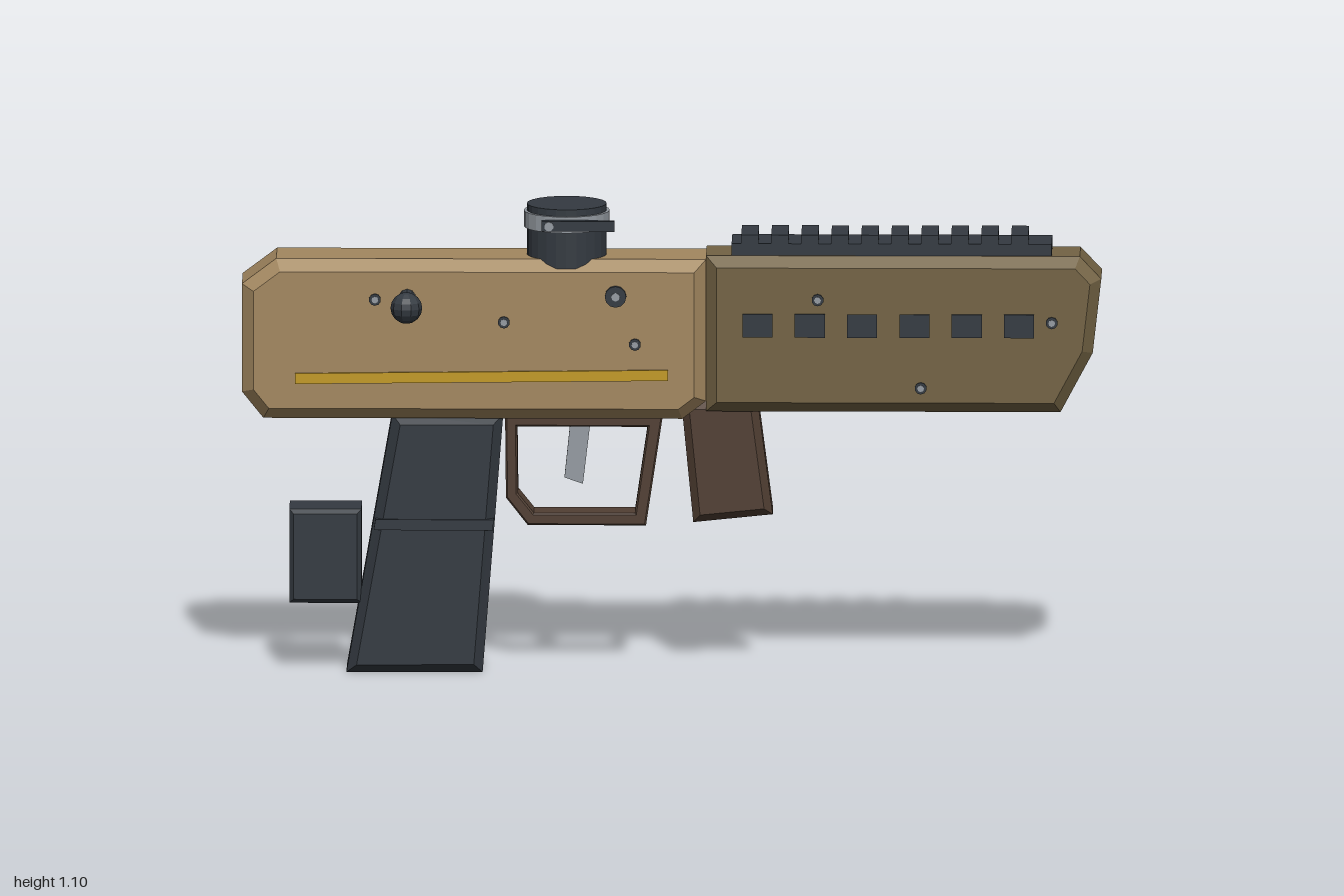
import * as THREE from 'three';

const mat = (name, color) => {
  const m = new THREE.MeshStandardMaterial({ color });
  m.name = name;
  return m;
};

export function createModel() {
  const tan = mat('tan', 0xa38860);
  const olive = mat('olive', 0x736344);
  const slate = mat('slate', 0x343a41);
  const brown = mat('brown', 0x513f33);
  const steel = mat('steel', 0x959ba2);
  const yellow = mat('yellow', 0xc39a25);

  const root = new THREE.Group();
  const ZC = -0.08; // middle plane of the body

  const add = (name, geo, material, x = 0, y = 0, z = 0) => {
    const flat = geo.index ? geo.toNonIndexed() : geo;
    flat.computeVertexNormals(); // faceted look
    const mesh = new THREE.Mesh(flat, material);
    mesh.name = name;
    mesh.position.set(x, y, z);
    root.add(mesh);
    return mesh;
  };
  const toVec = (pts) => pts.map(([x, y]) => new THREE.Vector2(x, y));

  // Side profile extruded about the middle plane, with chamfered edges
  const slab = (name, pts, width, bevel, material, hole) => {
    const shape = new THREE.Shape(toVec(pts));
    if (hole) shape.holes.push(new THREE.Path(toVec(hole)));
    const geo = new THREE.ExtrudeGeometry(shape, {
      depth: width - 2 * bevel, bevelEnabled: bevel > 0, bevelSegments: 1,
      bevelThickness: bevel, bevelSize: bevel, bevelOffset: -bevel,
    });
    geo.translate(0, 0, -(width - 2 * bevel) / 2);
    return add(name, geo, material, 0, 0, ZC);
  };
  const box = (name, w, h, d, material, x, y, z = ZC) =>
    add(name, new THREE.BoxGeometry(w, h, d), material, x, y, z);
  const disc = (name, r, depth, sides, material, x, y, z) =>
    add(name, new THREE.CylinderGeometry(r, r, depth, sides).rotateX(Math.PI / 2), material, x, y, z);

  // Main body
  slab('receiver', [[-1, 0.665], [-0.95, 0.603], [0.025, 0.603], [0.08, 0.645],
    [0.08, 0.98], [-0.92, 0.98], [-1, 0.92]], 0.195, 0.027, tan);
  slab('handguard', [[0.08, 0.62], [0.905, 0.62], [0.98, 0.76], [1, 0.935],
    [0.95, 0.988], [0.08, 0.988]], 0.18, 0.025, olive);

  // Grips
  slab('rearGrip', [[-0.757, 0], [-0.44, 0], [-0.392, 0.61], [-0.65, 0.61]], 0.155, 0.022, slate);
  slab('rearGripBand', [[-0.693, 0.34], [-0.416, 0.34], [-0.414, 0.365], [-0.689, 0.365]], 0.166, 0, slate);
  slab('rearBlock', [[-0.89, 0.163], [-0.722, 0.163], [-0.722, 0.385], [-0.89, 0.385]], 0.13, 0.01, slate);
  slab('foreGrip', [[0.05, 0.353], [0.235, 0.372], [0.2, 0.64], [0.022, 0.64]], 0.112, 0.018, brown);

  // Trigger and guard
  slab('triggerGuard', [[-0.388, 0.61], [-0.386, 0.41], [-0.335, 0.345], [-0.06, 0.345], [-0.02, 0.61]],
    0.085, 0.004, brown,
    [[-0.36, 0.578], [-0.056, 0.578], [-0.086, 0.374], [-0.321, 0.374], [-0.358, 0.42]]);
  slab('trigger', [[-0.25, 0.455], [-0.207, 0.44], [-0.188, 0.6], [-0.235, 0.6]], 0.045, 0, steel);

  // Top rail with teeth
  box('railBase', 0.745, 0.032, 0.125, slate, 0.512, 1.0);
  for (let i = 0; i < 10; i++) box('railTooth', 0.04, 0.024, 0.13, slate, 0.182 + i * 0.0698, 1.025);

  // Sight pot with clamp ring and latch
  const SX = -0.245;
  add('sightPot', new THREE.CylinderGeometry(0.093, 0.093, 0.14, 24), slate, SX, 1.03, ZC);
  add('clampRing', new THREE.CylinderGeometry(0.1, 0.1, 0.038, 24), steel, SX, 1.065, ZC);
  box('clampLatch', 0.17, 0.024, 0.018, slate, -0.217, 1.065, 0.028);
  disc('latchPin', 0.011, 0.008, 10, steel, -0.285, 1.065, 0.036);

  // Side handle
  disc('handleRod', 0.02, 0.15, 10, slate, -0.615, 0.893, 0.07);
  add('handleBall', new THREE.SphereGeometry(0.037, 10, 8), slate, -0.615, 0.893, 0.156);

  // Details repeated on both sides
  for (const s of [1, -1]) {
    const bodyZ = ZC + s * 0.0975;
    const guardZ = ZC + s * 0.09;

    const stripe = box('sideStripe', 0.868, 0.025, 0.008, yellow, -0.442, 0.706, bodyZ + s * 0.002);
    stripe.rotation.z = 0.011;

    for (let i = 0; i < 6; i++)
      box('ventWindow', 0.07, 0.055, 0.008, slate, 0.2 + i * 0.1218, 0.827, guardZ);

    const screws = [
      [-0.69, 0.888, bodyZ], [-0.39, 0.835, bodyZ], [-0.085, 0.783, bodyZ],
      [0.34, 0.888, guardZ], [0.885, 0.835, guardZ], [0.58, 0.68, guardZ],
    ];
    for (const [x, y, z] of screws) {
      disc('screwCollar', 0.014, 0.01, 10, slate, x, y, z);
      disc('screwHead', 0.008, 0.008, 8, steel, x, y, z + s * 0.003);
    }
    disc('pivotPin', 0.025, 0.024, 12, slate, -0.13, 0.897, bodyZ);
    disc('pivotPinCentre', 0.01, 0.006, 8, steel, -0.13, 0.897, bodyZ + s * 0.011);
  }

  return root;
}
